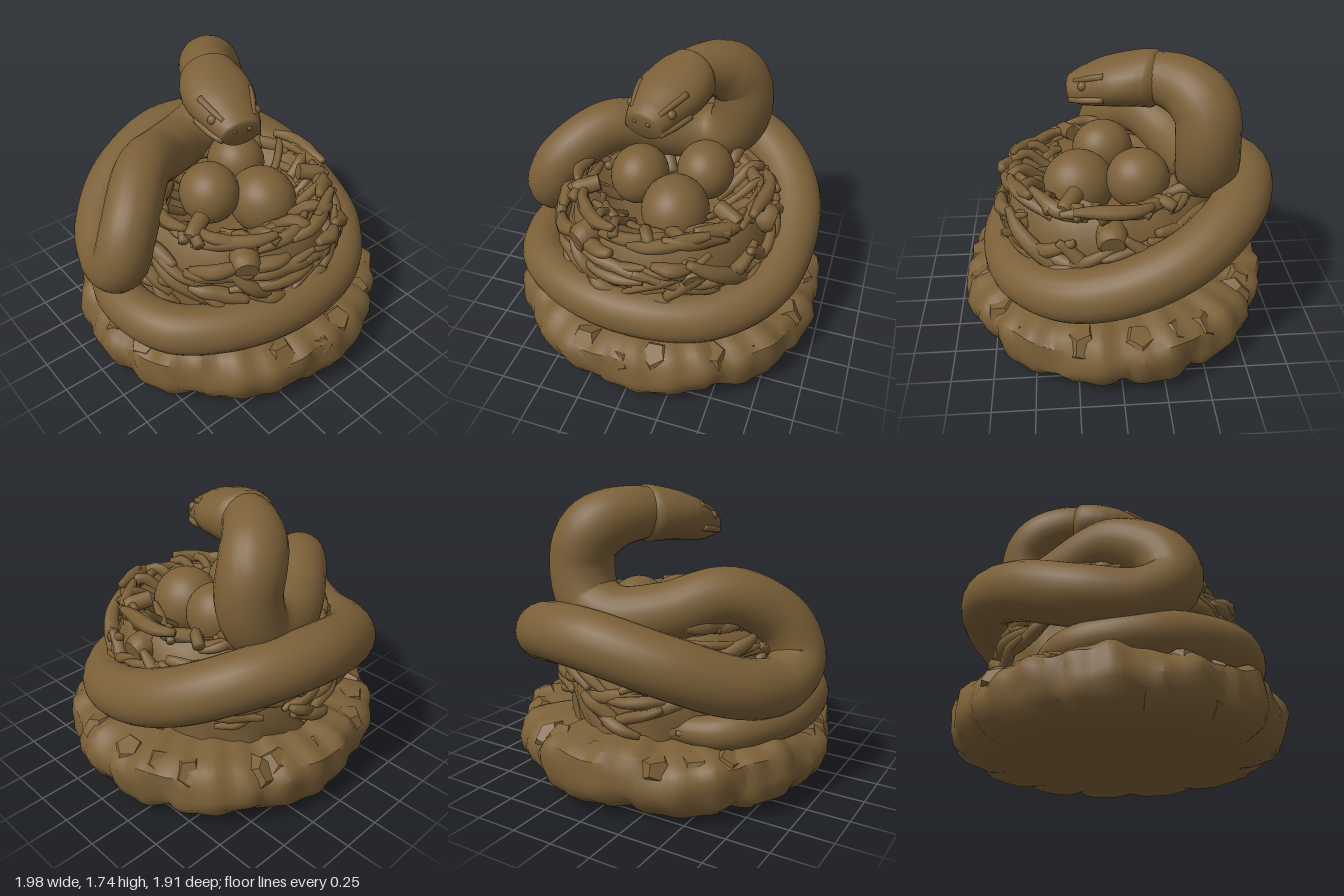
import * as THREE from 'three';
import { mergeVertices, toCreasedNormals } from 'three/addons/utils/BufferGeometryUtils.js';

const bronze = new THREE.MeshStandardMaterial({ color: 0x7b6038 });
bronze.name = 'bronze brown';

let seed = 7;
const rand = (a = 0, b = 1) => {
  seed = (seed * 16807) % 2147483647;
  return a + (b - a) * (seed / 2147483647);
};
const V = (x, y, z) => new THREE.Vector3(x, y, z);
const curveOf = (pts) => new THREE.CatmullRomCurve3(pts.map((p) => V(...p)), false, 'centripetal');

function add(parent, name, geometry) {
  const mesh = new THREE.Mesh(geometry, bronze);
  mesh.name = name;
  parent.add(mesh);
  return mesh;
}

// Linear interpolation through evenly spaced values
function along(values, t) {
  const f = Math.min(t, 0.99999) * (values.length - 1), i = Math.floor(f);
  return values[i] + (values[i + 1] - values[i]) * (f - i);
}

// Closed tube of elliptical sections; size(t) gives [half width, half height]
function sweep(curve, segments, sides, size, upright = false) {
  const frames = curve.computeFrenetFrames(segments);
  const pos = [], index = [];
  for (let i = -1; i <= segments + 1; i++) {
    const k = Math.min(Math.max(i, 0), segments), t = k / segments;
    const p = curve.getPointAt(t), tan = frames.tangents[k];
    const hint = upright ? V(0, 1, 0) : frames.normals[k];
    const side = hint.clone().cross(tan).normalize();
    const up = tan.clone().cross(side);
    const [w, h] = i === k ? size(t) : [0, 0];
    for (let j = 0; j < sides; j++) {
      const a = (j / sides) * Math.PI * 2;
      const q = p.clone().addScaledVector(side, Math.cos(a) * w).addScaledVector(up, Math.sin(a) * h);
      pos.push(q.x, q.y, q.z);
    }
  }
  for (let i = 0; i < segments + 2; i++) {
    for (let j = 0; j < sides; j++) {
      const a = i * sides + j, b = i * sides + ((j + 1) % sides), c = a + sides, d = b + sides;
      index.push(a, b, c, b, d, c);
    }
  }
  const g = new THREE.BufferGeometry();
  g.setAttribute('position', new THREE.Float32BufferAttribute(pos, 3));
  g.setIndex(index);
  g.computeVertexNormals();
  return g;
}

// Lathe whose vertices are moved by rule(point, angle)
function roughLathe(profile, sides, rule, crease) {
  let g = new THREE.LatheGeometry(profile.map(([x, y]) => new THREE.Vector2(x, y)), sides);
  g.deleteAttribute('uv');
  g.deleteAttribute('normal');
  g = mergeVertices(g, 1e-4);
  const p = g.attributes.position, v = V(0, 0, 0);
  for (let i = 0; i < p.count; i++) {
    v.fromBufferAttribute(p, i);
    rule(v, Math.atan2(v.z, v.x));
    p.setXYZ(i, v.x, v.y, v.z);
  }
  g.computeVertexNormals();
  return toCreasedNormals(g, crease);
}

function buildRock(group) {
  const profile = [[0, 0], [0.4, 0], [0.65, 0], [0.8, 0.005], [0.88, 0.035], [0.935, 0.085], [0.965, 0.15], [0.975, 0.21],
    [0.97, 0.27], [0.95, 0.325], [0.9, 0.365], [0.81, 0.385], [0.7, 0.4], [0.5, 0.42], [0, 0.42]];
  const rock = roughLathe(profile, 160, (v, a) => {
    const r = Math.hypot(v.x, v.z);
    if (r < 0.6) return;
    // Uneven lobes parted by slanting grooves
    const lobes = Math.sqrt(Math.abs(Math.sin(a * 5.5 + 0.9 * Math.sin(a * 2) + v.y * 1.5)));
    const chips = Math.sin(a * 17 + v.y * 12) * Math.sin(a * 11 - v.y * 15);
    const k = 0.96 + 0.045 * lobes + 0.018 * chips;
    v.x *= k;
    v.z *= k * 0.975;
    if (v.y < 0.15) v.y += 0.03 * (1 - lobes) * Math.min(1, (r - 0.6) * 4);
    else v.y += 0.02 * Math.sin(a * 9 + 1) * Math.sin(a * 4) + 0.015 * chips;
  }, 0.7);
  add(group, 'rockBase', rock);

  // Chipped stones around the upper edge
  for (let i = 0; i < 20; i++) {
    const a = (i / 20) * Math.PI * 2 + rand(-0.1, 0.1);
    const stone = add(group, 'edgeStone', new THREE.DodecahedronGeometry(0.12, 0));
    stone.position.set(Math.cos(a) * 0.84, rand(0.27, 0.3), Math.sin(a) * 0.82);
    stone.rotation.set(rand(0, 3), rand(0, 3), rand(0, 3));
    stone.scale.set(1, rand(0.7, 0.95), 1);
  }
}

// The nest swells toward the back below its rim
const swell = (y, z) => (z < 0 && y < 0.9 ? z * (1 + 0.14 * Math.min(1, (0.9 - y) * 4)) : z);

function buildNest(group) {
  const nest = new THREE.Group();
  nest.name = 'nest';
  nest.position.z = 0.03;
  group.add(nest);
  const profile = [[0.64, 0.36], [0.65, 0.5], [0.65, 0.65], [0.63, 0.8], [0.59, 0.93], [0.53, 0.98],
    [0.46, 0.95], [0.38, 0.87], [0.25, 0.81], [0, 0.79]];
  add(nest, 'nestBowl', roughLathe(profile, 64, (v, a) => {
    const k = 0.98 + 0.02 * Math.sin(a * 13 + v.y * 22) + 0.015 * Math.sin(a * 7 - v.y * 17);
    v.x *= k;
    v.z = swell(v.y, v.z * k);
  }, 1));

  // Woven twigs on the outside, foot, rim and inside of the bowl
  const layers = [
    { count: 64, r: [0.64, 0.67], y: [0.58, 0.95], span: [0.3, 0.8] },
    { count: 20, r: [0.64, 0.68], y: [0.42, 0.66], span: [0.3, 0.7] },
    { count: 26, r: [0.5, 0.61], y: [0.93, 1.04], span: [0.4, 0.9] },
    { count: 16, r: [0.38, 0.5], y: [0.86, 0.97], span: [0.4, 0.9] },
  ];
  for (const { count, r, y, span } of layers) {
    for (let i = 0; i < count; i++) {
      const a0 = (i / count) * Math.PI * 2 + rand(-0.15, 0.15), turn = rand(...span) * (i % 2 ? 1 : -1);
      const y0 = rand(...y), y1 = rand(...y), r0 = rand(...r), r1 = rand(...r);
      const pts = [];
      for (let k = 0; k <= 4; k++) {
        const t = k / 4, a = a0 + turn * t, h = y0 + (y1 - y0) * t;
        const rr = r0 + (r1 - r0) * t + 0.012 * Math.sin(k * 1.7 + i);
        pts.push([Math.cos(a) * rr, h, swell(h, Math.sin(a) * rr)]);
      }
      const w = rand(0.028, 0.052);
      add(nest, 'twig', sweep(curveOf(pts), 14, 7, (t) => {
        const s = w * (0.5 + 0.5 * Math.sin(Math.PI * t));
        return [s, s];
      }));
    }
  }

  // Strands slanting from the rim down to the eggs
  for (let i = 0; i < 18; i++) {
    const a = (i / 18) * Math.PI * 2 + rand(-0.1, 0.1), w = rand(0.025, 0.04), lean = rand(0.2, 0.5);
    const pts = [[0.6, 0.98], [0.52, 1.01], [0.42, 0.93], [0.3, 0.84]].map(([r, y], k) =>
      [Math.cos(a + lean * k / 3) * r, y, Math.sin(a + lean * k / 3) * r]);
    add(nest, 'innerStrand', sweep(curveOf(pts), 10, 7, () => [w, w]));
  }

  // Cut branch stubs facing outward: angle, height, radius, thickness
  for (const [a, y, r, w] of [[2.12, 0.89, 0.69, 0.085], [1.05, 0.79, 0.69, 0.07], [0.02, 0.86, 0.67, 0.09],
    [0.5, 1.0, 0.58, 0.05], [2.65, 1.0, 0.58, 0.05]]) {
    const c = Math.cos(a), s = Math.sin(a);
    const path = curveOf([[c * (r - 0.16), y + 0.03, s * (r - 0.16)], [c * r, y, s * r]]);
    add(nest, 'branchStub', toCreasedNormals(sweep(path, 5, 12, (t) => {
      const k = w * (t > 0.9 ? 0.75 : 1);
      return [k, k];
    }), 0.9));
  }

  // Eggs
  for (const [x, y, z, r, tilt] of [[0.1, 0.93, 0.18, 0.2, 0.3], [-0.18, 1.02, 0.02, 0.175, -0.3], [0.18, 1.0, -0.17, 0.175, 0.2]]) {
    const egg = add(nest, 'egg', new THREE.SphereGeometry(r, 32, 20));
    egg.position.set(x, y, z);
    egg.scale.set(1, 1.05, 1.08);
    egg.rotation.z = tilt;
  }
}

function buildSnake(group) {
  const snake = new THREE.Group();
  snake.name = 'snake';
  group.add(snake);

  // Lower coil, rising over the back, hairpin on the right side, raised neck
  const body = curveOf([
    [-0.2, 0.44, -0.55], [-0.58, 0.45, -0.45], [-0.79, 0.48, -0.05], [-0.72, 0.49, 0.36], [-0.4, 0.5, 0.6], [0, 0.5, 0.67],
    [0.4, 0.5, 0.57], [0.67, 0.55, 0.3], [0.75, 0.64, -0.02], [0.7, 0.79, -0.38], [0.46, 0.93, -0.67],
    [0.08, 0.96, -0.79], [-0.35, 0.85, -0.69], [-0.66, 0.71, -0.43], [-0.78, 0.68, -0.16], [-0.8, 0.79, 0.02],
    [-0.71, 0.99, 0.0], [-0.47, 1.15, -0.21], [-0.18, 1.06, -0.42], [0.08, 1.03, -0.53],
    [0.25, 1.11, -0.53], [0.31, 1.3, -0.515], [0.275, 1.46, -0.505], [0.185, 1.55, -0.43], [0.07, 1.585, -0.28], [0, 1.56, -0.12],
  ]);
  const radii = [0.05, 0.11, 0.14, 0.145, 0.145, 0.15, 0.155, 0.16, 0.165, 0.165, 0.17, 0.17, 0.17, 0.165, 0.165, 0.165, 0.175, 0.185, 0.185, 0.13];
  add(snake, 'snakeBody', sweep(body, 220, 24, (t) => [along(radii, t), along(radii, t)]));

  // Wedge-shaped head
  const path = curveOf([[0.08, 1.583, -0.3], [0.02, 1.572, -0.16], [-0.03, 1.54, 0], [-0.06, 1.505, 0.12], [-0.085, 1.475, 0.235]]);
  const widths = [0.12, 0.18, 0.2, 0.21, 0.208, 0.19, 0.165, 0.145, 0.115];
  const heights = [0.12, 0.165, 0.158, 0.15, 0.144, 0.137, 0.124, 0.108, 0.08];
  add(snake, 'snakeHead', sweep(path, 32, 24, (t) => [along(widths, t), along(heights, t)], true));

  // Face details placed on both sides of the head's own axis
  const face = new THREE.Group();
  face.name = 'face';
  face.position.set(-0.06, 1.5, 0.12);
  face.rotation.set(0.24, -0.25, 0, 'YXZ');
  snake.add(face);
  for (const s of [-1, 1]) {
    const eye = add(face, 'eye', new THREE.SphereGeometry(0.028, 14, 10));
    eye.position.set(s * 0.132, 0.05, 0.01);
    const brow = curveOf([[s * 0.15, 0.09, -0.13], [s * 0.125, 0.087, -0.03], [s * 0.09, 0.074, 0.06]]);
    add(face, 'browRidge', sweep(brow, 10, 8, (t) => [0.022 - 0.008 * t, 0.022 - 0.008 * t]));
    const lip = curveOf([[s * 0.18, -0.035, -0.1], [s * 0.148, -0.03, 0.02], [s * 0.105, -0.025, 0.11]]);
    add(face, 'lip', sweep(lip, 10, 8, () => [0.02, 0.02]));
    const nostril = add(face, 'nostril', new THREE.SphereGeometry(0.015, 10, 8));
    nostril.position.set(s * 0.045, 0.035, 0.115);
  }
}

export function createModel() {
  const group = new THREE.Group();
  group.name = 'snakeGuardingNest';
  buildRock(group);
  buildNest(group);
  buildSnake(group);
  return group;
}
